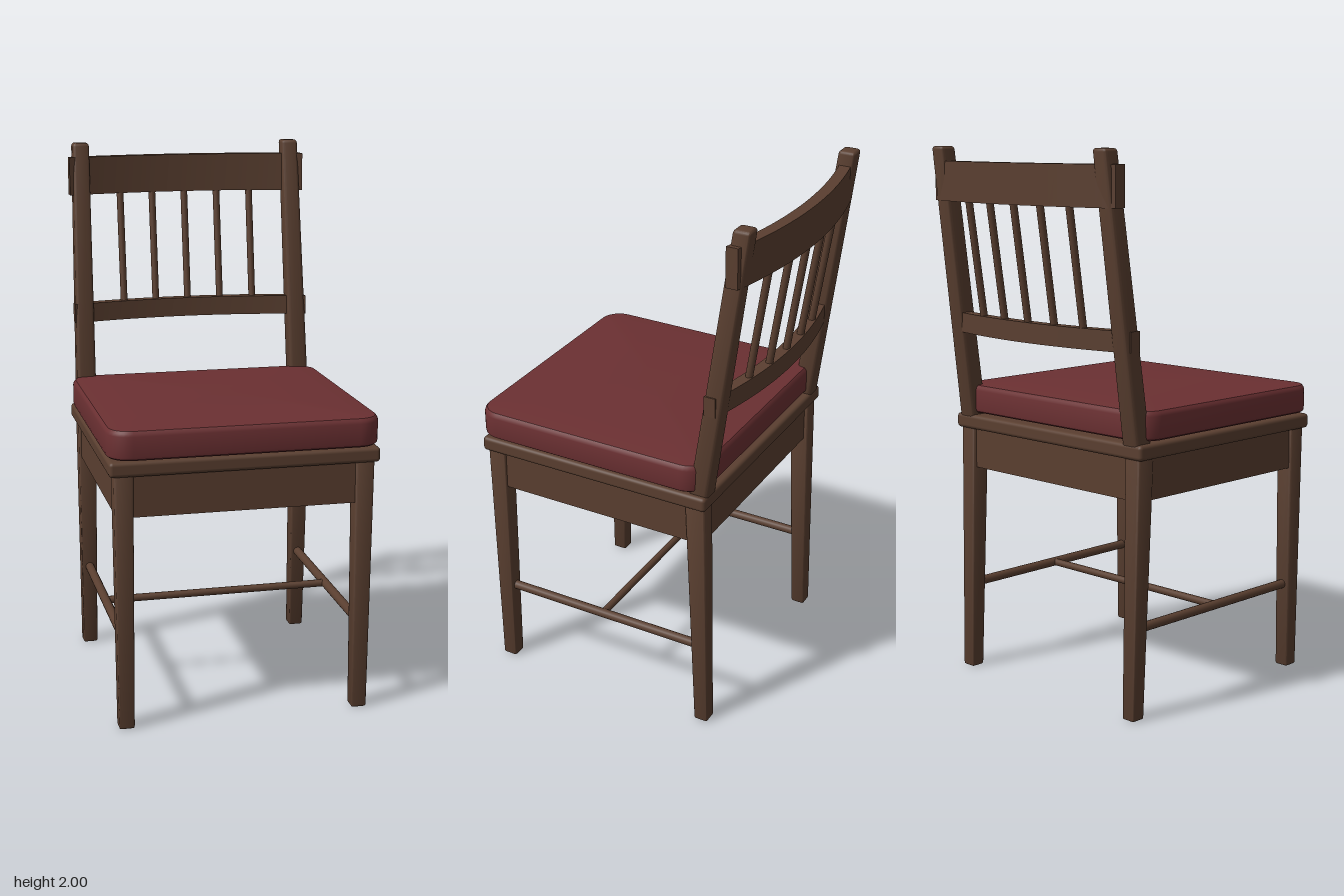
import * as THREE from 'three';
import { toCreasedNormals } from 'three/addons/utils/BufferGeometryUtils.js';
import { RoundedBoxGeometry } from 'three/addons/geometries/RoundedBoxGeometry.js';

const wood = new THREE.MeshStandardMaterial({ color: 0x5a3f30 });
wood.name = 'dark wood';
const fabric = new THREE.MeshStandardMaterial({ color: 0x6b3032 });
fabric.name = 'red fabric';

function add(group, name, geometry, material = wood) {
  const mesh = new THREE.Mesh(geometry, material);
  mesh.name = name;
  group.add(mesh);
  return mesh;
}

// Move every vertex by a rule, then rebuild the normals
function reshape(geometry, rule) {
  const pos = geometry.attributes.position;
  const v = new THREE.Vector3();
  for (let i = 0; i < pos.count; i++) {
    v.fromBufferAttribute(pos, i);
    rule(v);
    pos.setXYZ(i, v.x, v.y, v.z);
  }
  return toCreasedNormals(geometry, 0.6);
}

// Soft-edged post between two rectangles { y, x: [min, max], z: [min, max] }
function taperedPost(a, b, radius) {
  const w = b.x[1] - b.x[0], d = b.z[1] - b.z[0], h = b.y - a.y;
  return reshape(new RoundedBoxGeometry(w, h, d, 2, radius), (v) => {
    const t = v.y / h + 0.5;
    const across = (r, u) => THREE.MathUtils.lerp(r[0], r[1], u);
    v.set(
      THREE.MathUtils.lerp(across(a.x, v.x / w + 0.5), across(b.x, v.x / w + 0.5), t),
      a.y + t * h,
      THREE.MathUtils.lerp(across(a.z, v.z / d + 0.5), across(b.z, v.z / d + 0.5), t)
    );
  });
}

// Round bar between two points
function bar(from, to, radius) {
  const a = new THREE.Vector3(...from), b = new THREE.Vector3(...to);
  const dir = b.clone().sub(a);
  const geometry = new THREE.CylinderGeometry(radius, radius, dir.length(), 16);
  geometry.applyQuaternion(new THREE.Quaternion().setFromUnitVectors(
    new THREE.Vector3(0, 1, 0), dir.clone().normalize()));
  const mid = a.add(b).multiplyScalar(0.5);
  return geometry.translate(mid.x, mid.y, mid.z);
}

// Bow of the backrest: the ends come forward
const bow = (x) => 0.062 * (x / 0.465) ** 2;

function backRail(y0, y1, z) {
  const geometry = new THREE.BoxGeometry(0.93, y1 - y0, 0.044, 24, 1, 1);
  return reshape(geometry, (v) => { v.y += (y0 + y1) / 2; v.z += z + bow(v.x); });
}

// Cushion lofted from rounded rectangles; each ring is [inset, scale, y]
function cushionGeometry() {
  const rings = [
    [0.03, 0.02, 0.992], [0.03, 0.5, 0.994], [0.03, 1, 1.002], [0.01, 1, 1.002],
    [0.002, 1, 1.008], [0, 1, 1.018], [0, 1, 1.088], [0.003, 1, 1.098],
    [0.01, 1, 1.106], [0.02, 1, 1.107], [0.02, 0.85, 1.113], [0.02, 0.65, 1.118],
    [0.02, 0.4, 1.122], [0.02, 0.02, 1.125]
  ];
  const hx = 0.49, hz = 0.464, r = 0.085, cz = 0.087, steps = 8;
  const n = 4 * (steps + 1);
  const points = [], index = [];
  for (const [inset, scale, y] of rings) {
    for (let c = 0; c < 4; c++) {
      const sx = c === 0 || c === 3 ? 1 : -1, sz = c < 2 ? 1 : -1;
      for (let k = 0; k <= steps; k++) {
        const a = (c + k / steps) * Math.PI / 2;
        points.push(
          scale * (sx * (hx - r) + (r - inset) * Math.cos(a)), y,
          cz + scale * (sz * (hz - r) + (r - inset) * Math.sin(a)));
      }
    }
  }
  for (let i = 0; i < rings.length - 1; i++) {
    for (let j = 0; j < n; j++) {
      const a = i * n + j, b = i * n + (j + 1) % n;
      index.push(a, a + n, b, b, a + n, b + n);
    }
  }
  // Close the middle of the underside and the top
  const last = (rings.length - 1) * n;
  for (let j = 1; j < n - 1; j++) {
    index.push(0, j, j + 1, last, last + j + 1, last + j);
  }
  const geometry = new THREE.BufferGeometry();
  geometry.setAttribute('position', new THREE.Float32BufferAttribute(points, 3));
  geometry.setIndex(index);
  return toCreasedNormals(geometry, 0.7);
}

export function createModel() {
  const chair = new THREE.Group();
  chair.name = 'chair';

  // Seat
  add(chair, 'seatFrame', new RoundedBoxGeometry(0.975, 0.055, 0.927, 3, 0.014))
    .position.set(0, 0.967, 0.068);
  add(chair, 'cushion', cushionGeometry(), fabric);

  // Aprons below the seat
  add(chair, 'frontApron', new THREE.BoxGeometry(0.83, 0.16, 0.04)).position.set(0, 0.87, 0.49);
  add(chair, 'backApron', new THREE.BoxGeometry(0.83, 0.16, 0.04)).position.set(0, 0.87, -0.352);

  for (const side of [-1, 1]) {
    const name = side > 0 ? 'left' : 'right';
    const span = (inner, outer) => side > 0 ? [inner, outer] : [-outer, -inner];

    add(chair, name + 'Apron', new THREE.BoxGeometry(0.04, 0.16, 0.81))
      .position.set(side * 0.44, 0.87, 0.07);

    // Legs
    add(chair, name + 'FrontLeg', taperedPost(
      { y: 0, x: span(0.405, 0.461), z: [0.454, 0.51] },
      { y: 0.96, x: span(0.4, 0.47), z: [0.447, 0.519] }, 0.009));
    add(chair, name + 'BackLeg', taperedPost(
      { y: 0, x: span(0.405, 0.461), z: [-0.402, -0.348] },
      { y: 0.96, x: span(0.4, 0.47), z: [-0.384, -0.307] }, 0.009));

    // Leaning back posts
    add(chair, name + 'BackPost', taperedPost(
      { y: 0.97, x: span(0.394, 0.469), z: [-0.391, -0.318] },
      { y: 2, x: span(0.385, 0.448), z: [-0.527, -0.463] }, 0.012));

    add(chair, name + 'Stretcher', bar([side * 0.433, 0.328, 0.48], [side * 0.433, 0.328, -0.365], 0.017));
  }
  add(chair, 'crossStretcher', bar([-0.433, 0.328, 0.06], [0.433, 0.328, 0.06], 0.014));

  // Curved backrest rails and spindles
  add(chair, 'topRail', backRail(1.803, 1.947, -0.534));
  add(chair, 'lowerRail', backRail(1.315, 1.388, -0.46));
  for (let i = -2; i <= 2; i++) {
    const x = i * 0.13;
    add(chair, 'spindle', bar([x, 1.37, -0.462 + bow(x)], [x, 1.82, -0.53 + bow(x)], 0.0135));
  }
  return chair;
}
